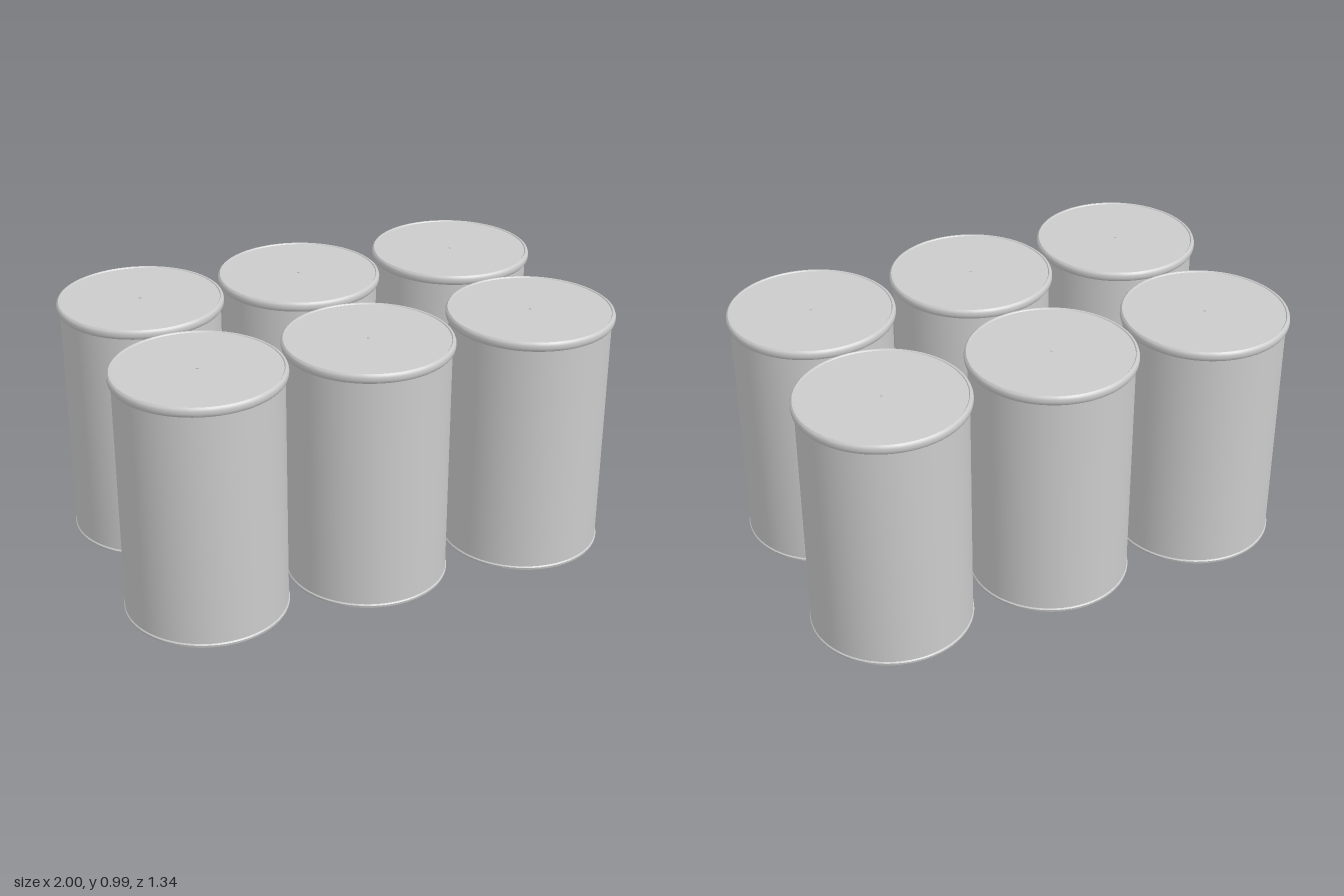
import * as THREE from 'three';
import { toCreasedNormals } from 'three/addons/utils/BufferGeometryUtils.js';

const SEGMENTS = 64;

// Revolve a [radius, height] profile, keeping its corners sharp
function revolve(profile) {
  const points = profile.map(([r, y]) => new THREE.Vector2(r, y));
  return toCreasedNormals(new THREE.LatheGeometry(points, SEGMENTS), 0.6);
}

export function createModel() {
  const model = new THREE.Group();
  model.name = 'canisters';
  const material = new THREE.MeshStandardMaterial({ color: 0xcccccc });

  // Straight wall with a thin rolled rim at the foot
  const bodyGeometry = revolve([
    [0, 0.004], [0.306, 0.004], [0.309, 0], [0.315, 0], [0.317, 0.005],
    [0.317, 0.01], [0.313, 0.015], [0.313, 0.96],
  ]);

  // Overhanging lid with a rounded edge and a slightly sunken top
  const lidGeometry = revolve([
    [0.311, 0.952], [0.32, 0.952], [0.324, 0.957], [0.326, 0.966], [0.326, 0.976],
    [0.323, 0.985], [0.318, 0.989], [0.313, 0.989], [0.31, 0.985], [0, 0.985],
  ]);

  // Tiny stud in the middle of the lid
  const studGeometry = new THREE.CylinderGeometry(0.006, 0.006, 0.004, 16);

  for (const x of [-0.674, -0.008, 0.674]) {
    for (const z of [-0.345, 0.345]) {
      const canister = new THREE.Group();
      canister.name = 'canister';
      const add = (geometry, name, y = 0) => {
        const mesh = new THREE.Mesh(geometry, material);
        mesh.name = name;
        mesh.position.y = y;
        canister.add(mesh);
      };
      add(bodyGeometry, 'body');
      add(lidGeometry, 'lid');
      add(studGeometry, 'lidStud', 0.986);
      canister.position.set(x, 0, z);
      model.add(canister);
    }
  }
  return model;
}
